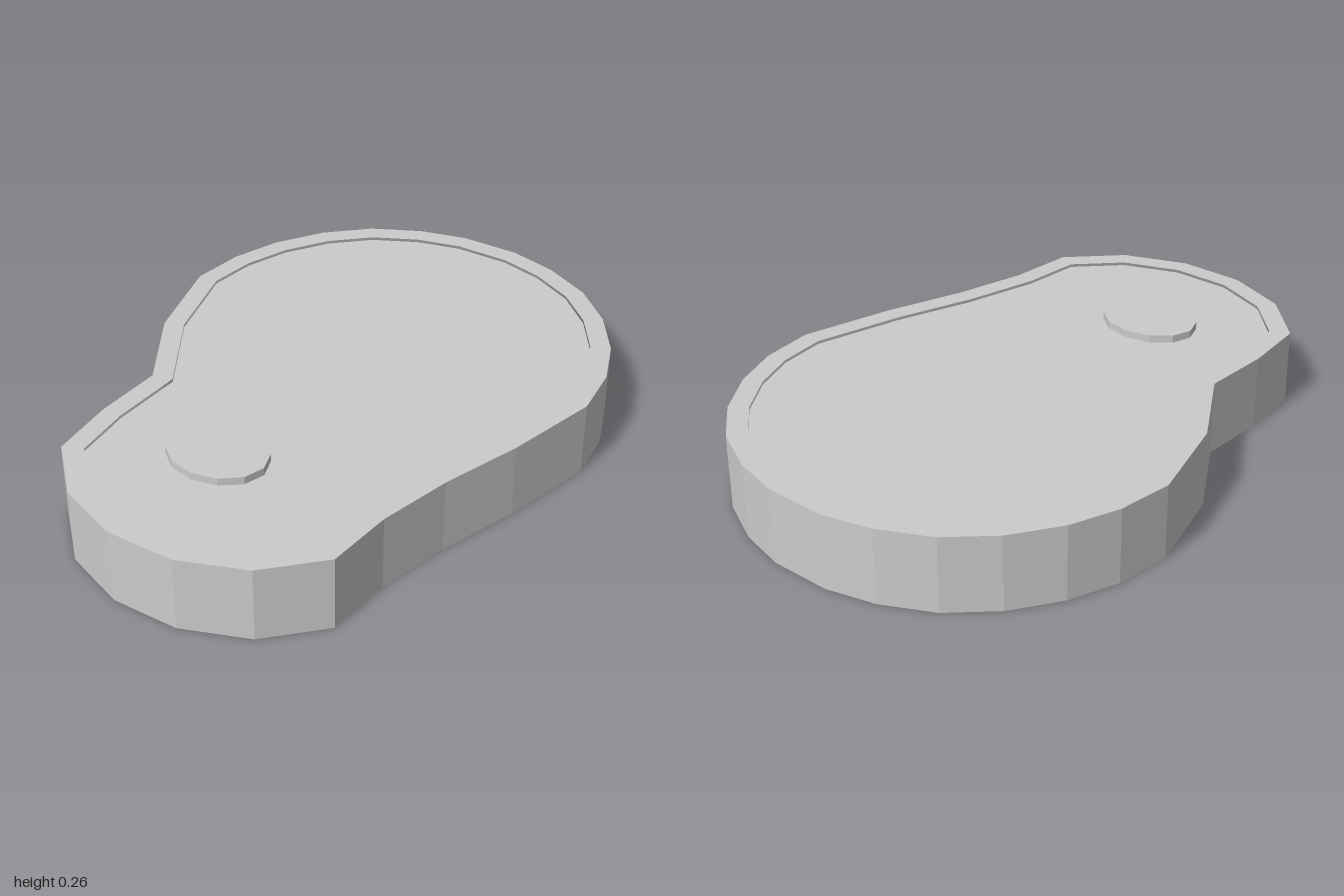
import * as THREE from 'three';

// Outline of the slab as [x, z], running round from the back
const OUTLINE = [
  [-0.10, -1], [0.10, -1], [0.26, -0.96], [0.42, -0.88], [0.55, -0.76], [0.65, -0.61],
  [0.71, -0.45], [0.73, -0.27], [0.65, 0.04], [0.56, 0.30], [0.50, 0.54], [0.48, 0.76],
  [0.32, 0.92], [0.11, 1], [-0.11, 1], [-0.32, 0.92], [-0.48, 0.76], [-0.50, 0.54],
  [-0.49, 0.31], [-0.65, 0.04], [-0.735, -0.27], [-0.71, -0.45], [-0.65, -0.61],
  [-0.55, -0.76], [-0.42, -0.88], [-0.26, -0.96],
].map(([x, z]) => new THREE.Vector2(x, -z));

const HEIGHT = 0.245, RIM = 0.065, RECESS = 0.01;

// Moves every edge inwards by d, with mitred corners
function inset(points, d) {
  const n = points.length;
  const inward = (a, b) => {
    const e = b.clone().sub(a).normalize();
    return new THREE.Vector2(e.y, -e.x);
  };
  return points.map((p, i) => {
    const n1 = inward(points[(i + n - 1) % n], p);
    const n2 = inward(p, points[(i + 1) % n]);
    return p.clone().addScaledVector(n1.clone().add(n2), d / (1 + n1.dot(n2)));
  });
}

// Upright prism standing on y = bottom
function slab(shape, bottom, top) {
  return new THREE.ExtrudeGeometry(shape, { depth: top - bottom, bevelEnabled: false })
    .rotateX(-Math.PI / 2)
    .translate(0, bottom, 0);
}

export function createModel() {
  const group = new THREE.Group();
  group.name = 'steak';
  const material = new THREE.MeshStandardMaterial({ color: 0xcccccc, flatShading: true });
  const add = (name, geometry) => {
    const mesh = new THREE.Mesh(geometry, material);
    mesh.name = name;
    group.add(mesh);
    return mesh;
  };

  const inner = inset(OUTLINE, RIM);

  // Raised band of fat round the edge
  const rim = new THREE.Shape(OUTLINE);
  rim.holes.push(new THREE.Path(inner));
  add('fatRim', slab(rim, 0, HEIGHT));

  // Meat, slightly sunk above and below
  add('meat', slab(new THREE.Shape(inner), RECESS, HEIGHT - RECESS));

  // Oval bone standing proud of the top
  const bone = add('bone', new THREE.CylinderGeometry(1, 1, 0.04, 12));
  bone.scale.set(0.165, 1, 0.132);
  bone.position.set(-0.07, 0.24, 0.54);

  return group;
}
